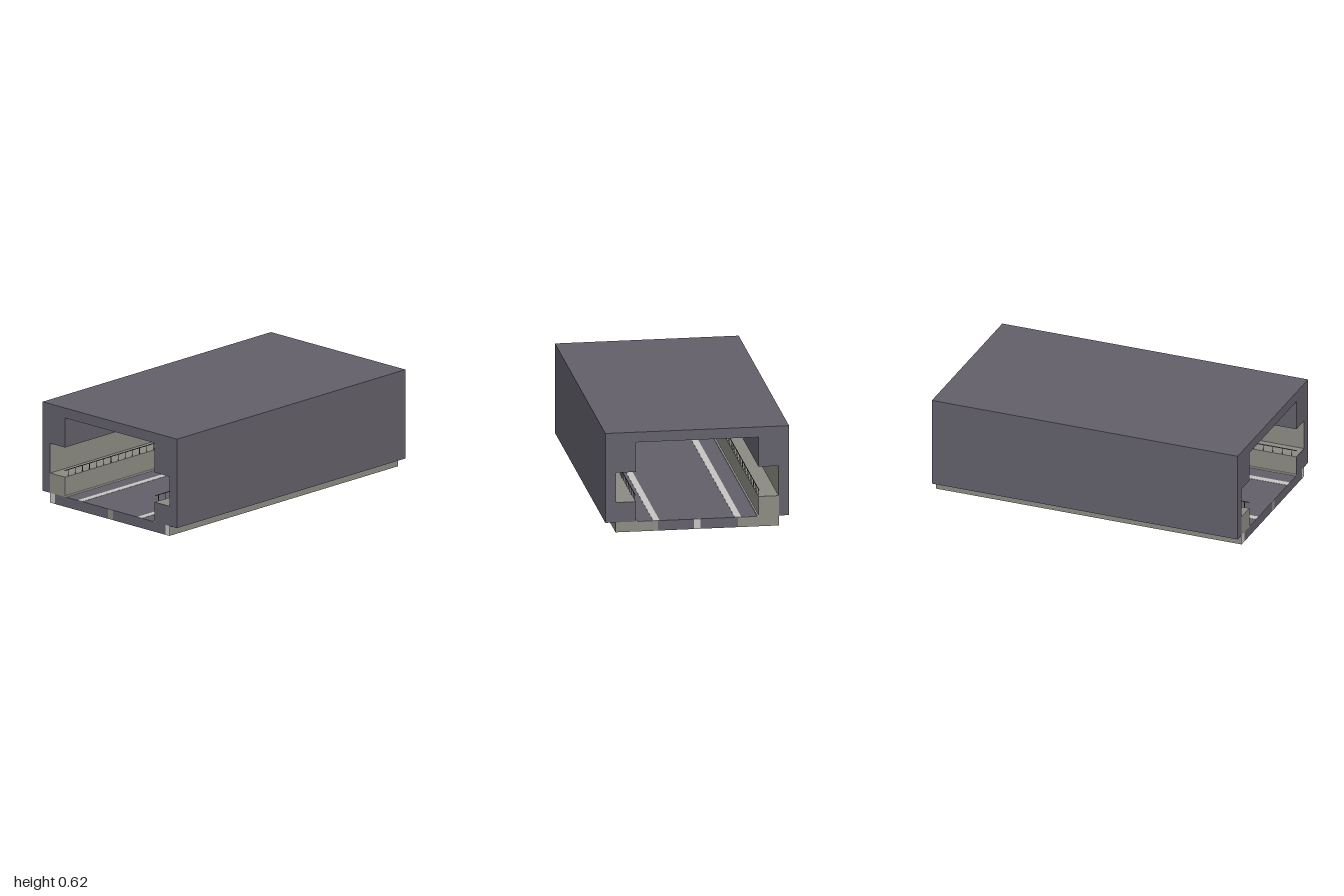
import * as THREE from 'three';

const material = (name, color) => {
  const m = new THREE.MeshStandardMaterial({ color });
  m.name = name;
  return m;
};

export function createModel() {
  const model = new THREE.Group();
  model.name = 'tunnelSection';
  const dark = material('slate concrete', 0x625f69);
  const olive = material('olive grey concrete', 0x8b8b82);
  const light = material('light grey', 0xc4c4c1);
  const iron = material('dark iron', 0x4a4a4e);

  // Box given by its limits on each axis
  const box = (name, mat, x0, x1, y0, y1, z0 = -1, z1 = 1, parent = model) => {
    const mesh = new THREE.Mesh(new THREE.BoxGeometry(x1 - x0, y1 - y0, z1 - z0), mat);
    mesh.position.set((x0 + x1) / 2, (y0 + y1) / 2, (z0 + z1) / 2);
    mesh.name = name;
    parent.add(mesh);
    return mesh;
  };
  // Same box on the chosen side: a is the inner limit, b the outer
  const sideBox = (name, mat, s, a, b, ...rest) =>
    box(name, mat, Math.min(s * a, s * b), Math.max(s * a, s * b), ...rest);

  // Roof and walls with a niche on each side
  const half = [[0.5625, 0.625], [0.5625, 0.0625], [0.5, 0.0625], [0.5, 0.375], [0.375, 0.375], [0.375, 0.5625]];
  const profile = [...half, ...half.slice().reverse().map(([x, y]) => [-x, y])];
  const shape = new THREE.Shape(profile.map(([x, y]) => new THREE.Vector2(x, y)));
  const shellGeometry = new THREE.ExtrudeGeometry(shape, { depth: 2, bevelEnabled: false });
  shellGeometry.translate(0, 0, -1);
  const shell = new THREE.Mesh(shellGeometry, dark);
  shell.name = 'shell';
  model.add(shell);
  box('ceilingLining', olive, -0.375, 0.375, 0.5605, 0.5625, -0.998, 0.998);

  // Base slab and floor
  const e = 0.004;
  box('slabCentre', dark, -0.25, 0.24, 0, 0.0585, -1 + e, 1 - e);
  box('slabLeft', olive, 0.24, 0.5, 0, 0.0585, -1 + e, 1 - e);
  box('slabRight', olive, -0.5, -0.25, 0, 0.0585, -1 + e, 1 - e);
  box('floor', dark, -0.375, 0.375, 0.0585, 0.0625, -1 + e, 1 - e);

  // Coloured end plates of the slab, as runs along x
  const endPlates = (name, runs, z) => {
    const group = new THREE.Group();
    group.name = name;
    for (const [x0, x1, mat] of runs) box('slabEndPlate', mat, x0, x1, 0, 0.0625, z, z + e, group);
    model.add(group);
  };
  endPlates('frontSlabEnd', [
    [-0.5, -0.457, light], [-0.457, -0.015, dark], [-0.015, 0.025, olive],
    [0.025, 0.465, dark], [0.465, 0.5, light],
  ], 1 - e);
  endPlates('backSlabEnd', [
    [-0.5, -0.25, olive], [-0.25, -0.02, dark], [-0.02, 0.02, light],
    [0.02, 0.24, dark], [0.24, 0.5, olive],
  ], -1);

  for (const s of [-1, 1]) {
    // Raised walkway, niche lining, kerb and floor strip
    const inset = s > 0 ? e : 0;
    sideBox('walkway', olive, s, 0.375, 0.5, 0.0625, 0.1875, -1 + inset, 1 - inset);
    sideBox('walkwayFoot', olive, s, 0.375, 0.5, 0.0585, 0.0625, -1 + e, 1 - e);
    sideBox('nicheLining', olive, s, 0.498, 0.5, 0.1875, 0.375, -0.998, 0.998);
    sideBox('kerb', light, s, 0.367, 0.375, 0.0625, 0.07);
    sideBox('floorStrip', light, s, 0.23, 0.27, 0.0625, 0.064);

    // Handrail with evenly spaced posts
    const rail = new THREE.Group();
    rail.name = s > 0 ? 'leftHandrail' : 'rightHandrail';
    sideBox('railBar', iron, s, 0.3765, 0.3805, 0.226, 0.23, -1, 1, rail);
    for (let i = 0; i < 32; i++) {
      const z = -0.96875 + i * 0.0625;
      sideBox('railPost', iron, s, 0.377, 0.38, 0.1875, 0.227, z - 0.0015, z + 0.0015, rail);
    }
    model.add(rail);
  }
  // Slate ends of the left walkway
  for (const z of [-1, 1 - e]) box('walkwayEndPlate', dark, 0.375, 0.5, 0.0625, 0.1875, z, z + e);

  return model;
}
